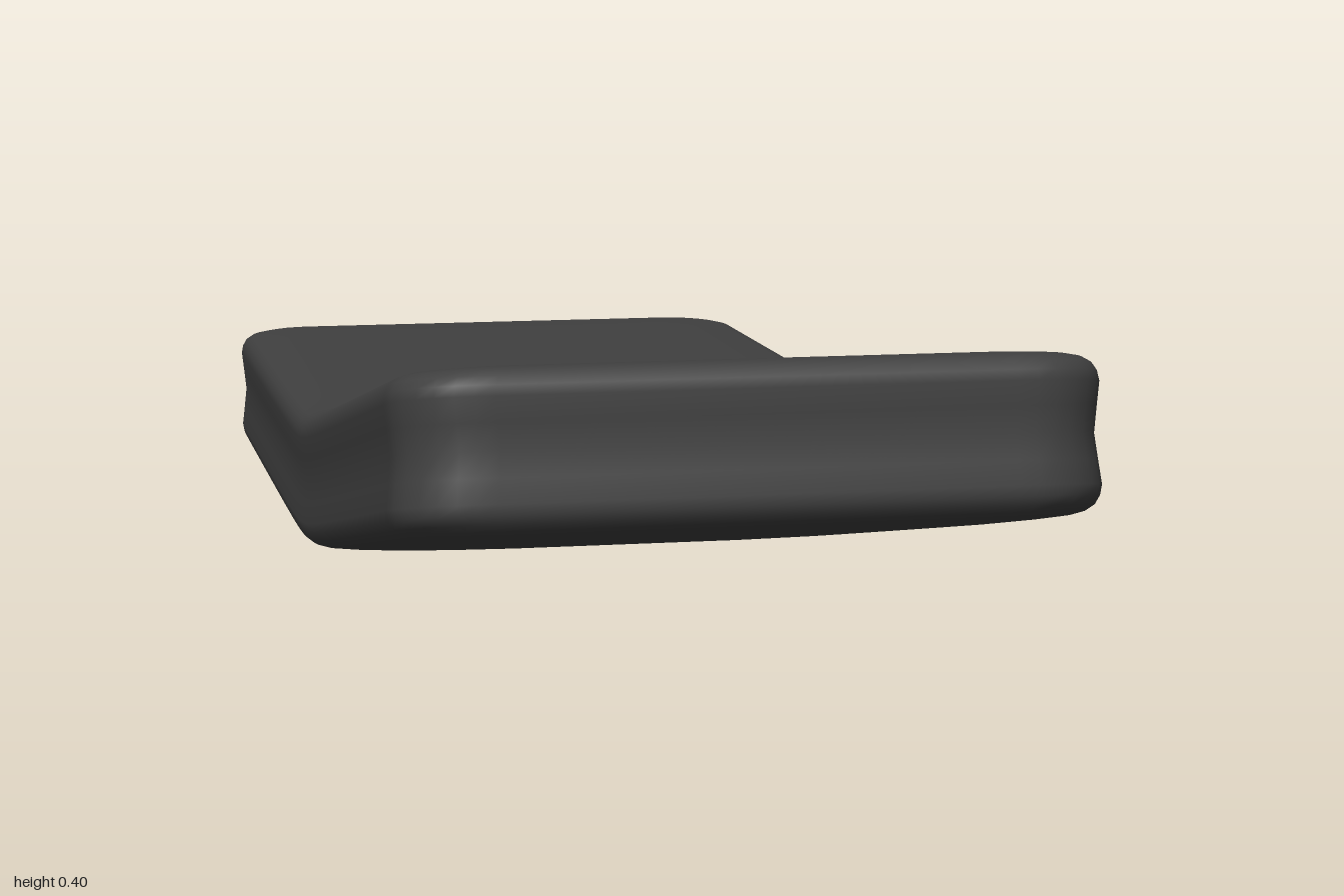
import * as THREE from 'three';
import { mergeVertices } from 'three/addons/utils/BufferGeometryUtils.js';

const HX = 0.408, HZ = 0.993, R = 0.09, T = 0.2;

// Rounded rectangle seen from above, evenly sampled
function outline(count) {
  const s = new THREE.Shape();
  s.absarc(HX - R, HZ - R, R, 0, Math.PI / 2);
  s.absarc(-HX + R, HZ - R, R, Math.PI / 2, Math.PI);
  s.absarc(-HX + R, -HZ + R, R, Math.PI, Math.PI * 1.5);
  s.absarc(HX - R, -HZ + R, R, Math.PI * 1.5, Math.PI * 2);
  s.closePath();
  return s.getSpacedPoints(count).slice(0, count);
}

// Raises the front half with a soft bend and tilts the thickness along the slope
function bend(x, y, z) {
  const u = z + 0.03, root = Math.hypot(u, 0.09);
  const lift = 0.215 * (u + root) / 2;
  const tilt = 0.15 * (1 + u / root) / 2;
  return [x, y + lift, z - (y - T / 2) * tilt];
}

function cushionGeometry() {
  // Upper half of the edge section: [inset from the outline, height]
  const half = [
    [0.006, 0.1], [0.003, 0.13], [0, 0.158], [0.002, 0.17], [0.007, 0.18], [0.016, 0.187], [0.03, 0.191],
    [0.06, 0.194], [0.11, 0.197], [0.18, 0.199], [0.26, 0.2], [0.34, 0.2], [HX, 0.2],
  ];
  const lower = half.slice(1).reverse().map(([d, y]) => [d, T - y]);
  const rings = [...lower, ...half];
  const pts = outline(240), n = pts.length;
  const positions = [], index = [];
  rings.forEach(([d, y], j) => {
    pts.forEach((p, i) => {
      const x = p.x * (HX - d) / HX, z = -p.y * (HZ - d) / HZ;
      positions.push(...bend(x, y, z - 0.007));
      if (j === rings.length - 1) return;
      const a = j * n + i, b = j * n + (i + 1) % n;
      index.push(a, b, b + n, a, b + n, a + n);
    });
  });
  let geo = new THREE.BufferGeometry();
  geo.setAttribute('position', new THREE.Float32BufferAttribute(positions, 3));
  geo.setIndex(index);
  geo = mergeVertices(geo, 1e-4);
  geo.computeVertexNormals();
  return geo;
}

export function createModel() {
  const group = new THREE.Group();
  group.name = 'bentCushion';
  const material = new THREE.MeshStandardMaterial({ color: 0x404040 });
  const pad = new THREE.Mesh(cushionGeometry(), material);
  pad.name = 'cushionPad';
  group.add(pad);
  return group;
}
